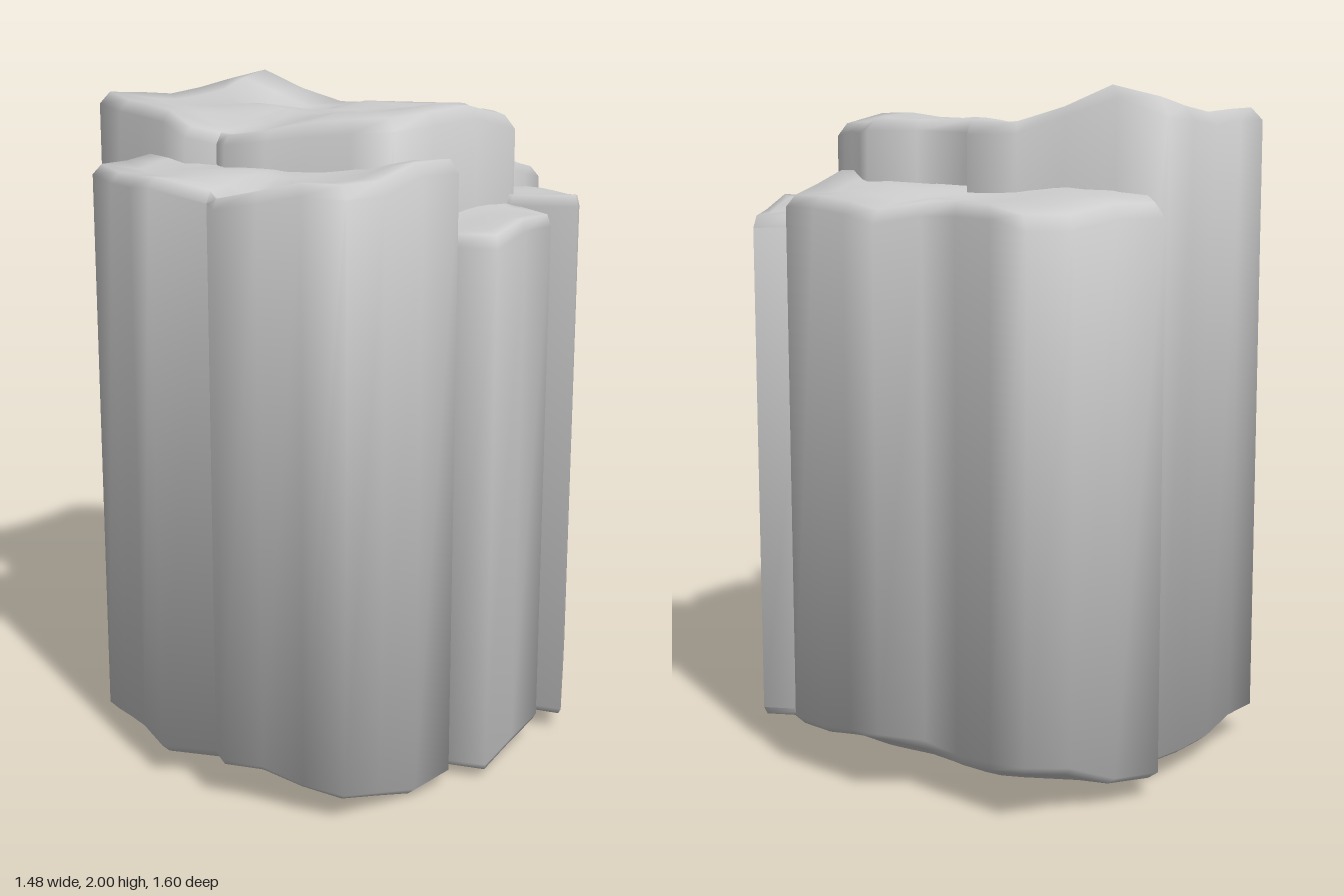
import * as THREE from 'three';
import { toCreasedNormals } from 'three/addons/utils/BufferGeometryUtils.js';

const { smoothstep } = THREE.MathUtils;

// Rounded hill of height 1 centred on (cx, cz)
const bump = (x, z, cx, cz, r) => Math.exp(-((x - cx) ** 2 + (z - cz) ** 2) / (r * r));

// Weathered ripple on the broken faces
const ripple = (x, z) => 0.01 * (Math.sin(13 * x + 5 * z) + Math.sin(17 * z - 7 * x + 1));

// Underside shared by all columns: rises to the back, with two low lumps
const underside = (x, z) => Math.max(0, 0.055 + ripple(x, z)
  + 0.1 * smoothstep(-z, 0.45, 0.8) + 0.02 * smoothstep(z, 0.4, 0.8)
  + 0.04 * bump(x, z, -0.7, 0.28, 0.2) + 0.04 * bump(x, z, 0.3, 0.75, 0.15)
  - 0.06 * bump(x, z, -0.25, -0.35, 0.25) - 0.04 * bump(x, z, 0.6, 0.38, 0.2));

// Split every outline edge into short steps
function subdivide(outline) {
  const out = [];
  outline.forEach(([x, z], i) => {
    const [nx, nz] = outline[(i + 1) % outline.length];
    const steps = Math.max(1, Math.round(Math.hypot(nx - x, nz - z) / 0.14));
    for (let s = 0; s < steps; s++) out.push([x + (nx - x) * s / steps, z + (nz - z) * s / steps]);
  });
  return out;
}

// Closed column: underside rings, straight walls, worn rim, top rings.
// The outline runs clockwise from above as [x, z]; top(x, z) gives the height.
function columnGeometry(outline, [cx, cz], top) {
  const rim = subdivide(outline), n = rim.length;
  const cap = [0, 0.25, 0.5, 0.75, 0.95];
  const rings = [
    ...cap.map(s => ({ s, t: 0, drop: 0 })),
    { s: 1, t: 0, drop: 0.02 },
    { s: 1, t: 1, drop: -0.035 },
    ...cap.slice().reverse().map(s => ({ s, t: 1, drop: 0 })),
  ];
  const pos = [], index = [];
  for (const { s, t, drop } of rings) {
    for (const [rx, rz] of rim) {
      const x = cx + (rx - cx) * s, z = cz + (rz - cz) * s;
      const low = underside(x, z);
      const high = Math.min(2, top(x, z) + 0.8 * ripple(x + 0.3, z));
      pos.push(x, low + (high - low) * t + drop, z);
    }
  }
  for (let j = 0; j < rings.length - 1; j++) {
    for (let i = 0; i < n; i++) {
      const a = j * n + i, b = j * n + (i + 1) % n;
      if (rings[j].s > 0) index.push(a, a + n, b);
      if (rings[j + 1].s > 0) index.push(b, a + n, b + n);
    }
  }
  const geometry = new THREE.BufferGeometry();
  geometry.setAttribute('position', new THREE.Float32BufferAttribute(pos, 3));
  geometry.setIndex(index);
  return toCreasedNormals(geometry, 1.45);
}

export function createModel() {
  const group = new THREE.Group();
  group.name = 'rockPillar';
  const material = new THREE.MeshStandardMaterial({ color: 0xcccccc });
  const addColumn = (name, outline, centre, top) => {
    const mesh = new THREE.Mesh(columnGeometry(outline, centre, top), material);
    mesh.name = name;
    group.add(mesh);
  };

  // Tall middle column with a peak at its back left corner
  addColumn('centralColumn',
    [[-0.7, -0.29], [-0.15, -0.46], [-0.11, -0.4], [0.18, -0.49], [0.55, -0.16],
      [0.46, 0.32], [-0.02, 0.48], [-0.12, 0.4], [-0.18, 0.47], [-0.72, 0.28]],
    [-0.08, 0],
    (x, z) => 1.91 + 0.1 * bump(x, z, -0.57, -0.31, 0.15) + 0.04 * bump(x, z, 0.48, 0.1, 0.2)
      + 0.03 * bump(x, z, -0.65, 0.2, 0.25) - 0.05 * bump(x, z, -0.27, -0.17, 0.15)
      - 0.05 * bump(x, z, -0.05, 0.43, 0.2));

  // Broad lower column behind, sloping down to the back
  addColumn('backColumn',
    [[-0.74, -0.38], [-0.54, -0.77], [-0.16, -0.7], [-0.07, -0.8], [0.29, -0.73],
      [0.35, -0.55], [0.39, -0.38], [0.25, -0.1], [-0.5, -0.1]],
    [-0.15, -0.4],
    (x, z) => 1.73 + 0.06 * x + 0.13 * (z + 0.4));

  addColumn('backRightColumn',
    [[0.35, -0.54], [0.51, -0.62], [0.74, -0.21], [0.56, -0.13], [0.3, -0.15]],
    [0.5, -0.32],
    (x, z) => 1.67 + 0.14 * (z + 0.3));

  addColumn('smallSideColumn',
    [[0.45, -0.2], [0.71, -0.11], [0.74, 0.22], [0.62, 0.28], [0.4, 0.25]],
    [0.55, 0.06],
    (x, z) => 1.65 - 0.1 * (x - 0.55) - 0.1 * z);

  // Lower front column with a worn notch in its face
  addColumn('frontColumn',
    [[0.49, 0.16], [0.67, 0.31], [0.58, 0.69], [0.22, 0.8], [0.1, 0.69], [-0.02, 0.79],
      [-0.39, 0.64], [-0.42, 0.39], [-0.3, 0.15]],
    [0.14, 0.4],
    (x, z) => 1.77 + 0.05 * bump(x, z, 0.63, 0.33, 0.2) - 0.07 * bump(x, z, 0.19, 0.66, 0.12));

  return group;
}
